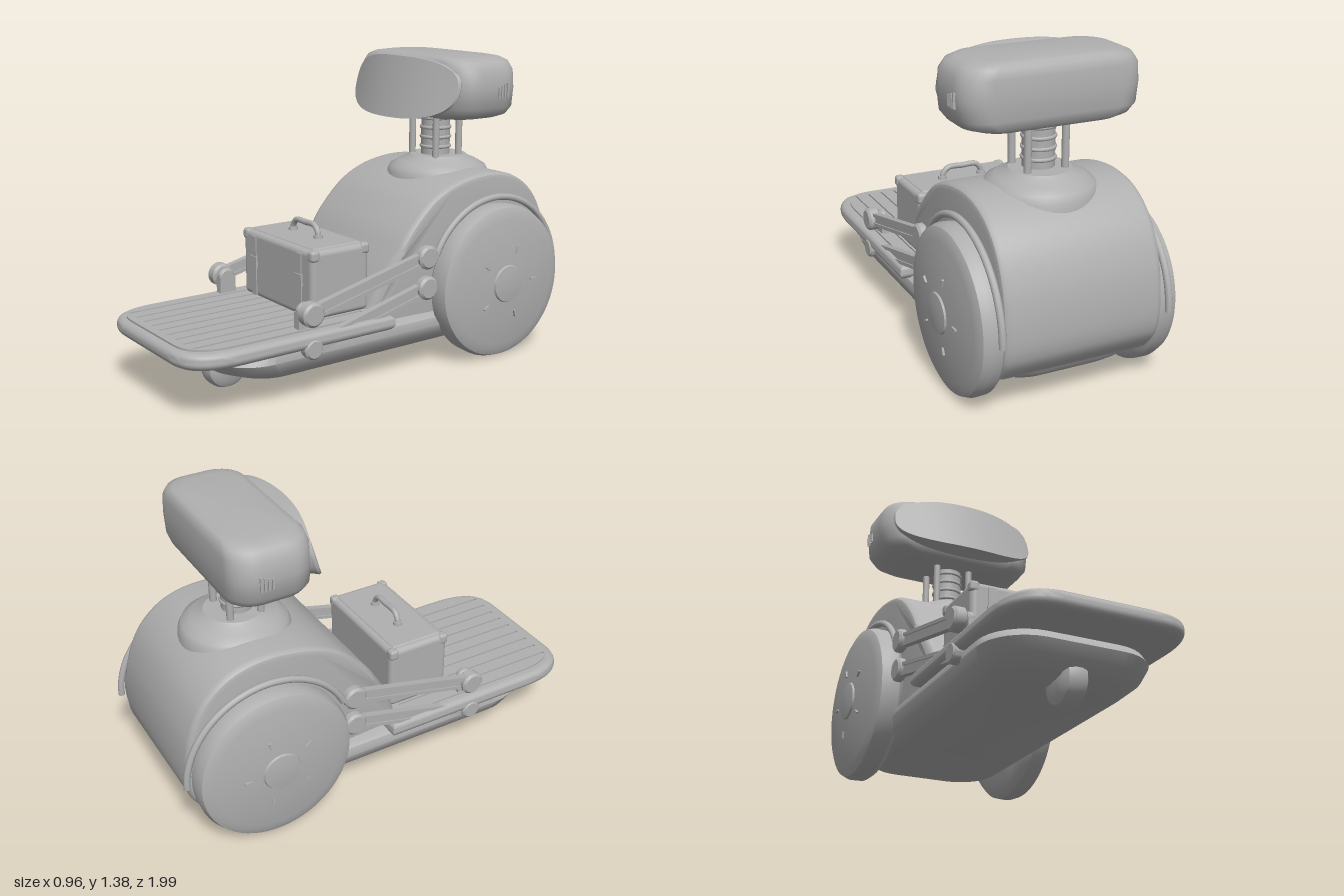
import * as THREE from 'three';
import { toCreasedNormals } from 'three/addons/utils/BufferGeometryUtils.js';
import { RoundedBoxGeometry } from 'three/addons/geometries/RoundedBoxGeometry.js';

const grey = new THREE.MeshStandardMaterial({ color: 0xb0b0b0 });
grey.name = 'grey';

// Skin over equal-length rings of points, closed at both ends
function skin(rings, crease = 0.7) {
  const pos = [];
  const tri = (...ps) => ps.forEach(p => pos.push(p.x, p.y, p.z));
  const n = rings[0].length;
  const mid = r => r.reduce((s, p) => s.add(p), new THREE.Vector3()).divideScalar(n);
  const first = rings[0], last = rings[rings.length - 1], m0 = mid(first), m1 = mid(last);
  for (let i = 0; i < n; i++) {
    const k = (i + 1) % n;
    for (let j = 0; j < rings.length - 1; j++) {
      const a = rings[j], b = rings[j + 1];
      tri(a[i], a[k], b[i]);
      tri(a[k], b[k], b[i]);
    }
    tri(m0, first[k], first[i]);
    tri(m1, last[i], last[k]);
  }
  const g = new THREE.BufferGeometry();
  g.setAttribute('position', new THREE.Float32BufferAttribute(pos, 3));
  return toCreasedNormals(g, crease);
}

// Level rounded-rectangle ring
function roundRing(y, hx, z0, z1, r) {
  const pts = [], cz = (z0 + z1) / 2, hz = (z1 - z0) / 2;
  for (let q = 0; q < 4; q++) for (let k = 0; k <= 8; k++) {
    const t = (q + k / 8) * Math.PI / 2;
    const sx = q === 0 || q === 3 ? 1 : -1, sz = q < 2 ? 1 : -1;
    pts.push(new THREE.Vector3(sx * (hx - r) + r * Math.cos(t), y, cz - sz * (hz - r) - r * Math.sin(t)));
  }
  return pts;
}

// Plan outline with rounded front corners
function plan(hx, z0, z1, r) {
  const s = new THREE.Shape();
  s.moveTo(-hx, z0);
  s.lineTo(hx, z0);
  s.lineTo(hx, z1 - r * 1.3);
  s.bezierCurveTo(hx, z1 - r * 0.3, hx - r * 0.4, z1, hx - r, z1);
  s.lineTo(-hx + r, z1);
  s.bezierCurveTo(-hx + r * 0.4, z1, -hx, z1 - r * 0.3, -hx, z1 - r * 1.3);
  return s;
}

export function createModel() {
  const root = new THREE.Group();
  root.name = 'cargoRobot';
  const add = (name, geo, x = 0, y = 0, z = 0) => {
    const m = new THREE.Mesh(geo, grey);
    m.name = name;
    m.position.set(x, y, z);
    root.add(m);
    return m;
  };
  const box = (name, w, h, d, x, y, z) => add(name, new THREE.BoxGeometry(w, h, d), x, y, z);
  const lathe = (pts, seg = 48) => toCreasedNormals(
    new THREE.LatheGeometry(pts.map(p => new THREE.Vector2(...p)), seg), 0.6);
  const disc = (r, w) => lathe([[0, -w / 2], [r * 0.8, -w / 2], [r, -w / 2 + 0.01],
    [r, w / 2 - 0.01], [r * 0.8, w / 2], [0, w / 2]], 28).rotateZ(Math.PI / 2);

  // Drum body: side profile in z, y
  const side = new THREE.Shape();
  side.moveTo(-0.88, 0.17);
  side.lineTo(0.1, 0.22);
  side.splineThru([[0.07, 0.31], [0.02, 0.43], [-0.05, 0.55], [-0.13, 0.66], [-0.25, 0.77], [-0.4, 0.835],
    [-0.59, 0.857], [-0.75, 0.82], [-0.87, 0.72], [-0.94, 0.57], [-0.965, 0.4], [-0.95, 0.27], [-0.88, 0.17]]
    .map(p => new THREE.Vector2(...p)));
  const body = new THREE.ExtrudeGeometry(side, { depth: 0.64, curveSegments: 40, bevelThickness: 0.03,
    bevelSize: 0.025, bevelOffset: -0.025, bevelSegments: 3 });
  body.translate(0, 0, -0.32).rotateY(-Math.PI / 2);
  const bp = body.attributes.position;
  for (let i = 0; i < bp.count; i++) {
    const t = THREE.MathUtils.clamp((bp.getZ(i) + 0.08) / 0.14, 0, 1);
    bp.setX(i, bp.getX(i) * (1 - 0.16 * t));
  }
  add('body', toCreasedNormals(body, 0.5));

  // Lower hull
  add('hull', skin([
    roundRing(0.1, 0.27, -0.78, 0.6, 0.15), roundRing(0.112, 0.3, -0.82, 0.68, 0.17),
    roundRing(0.15, 0.345, -0.87, 0.77, 0.2), roundRing(0.2, 0.365, -0.89, 0.8, 0.2),
    roundRing(0.235, 0.355, -0.89, 0.78, 0.2), roundRing(0.25, 0.33, -0.88, 0.74, 0.18)]));

  // Cargo deck with grooved floor
  const deck = new THREE.ExtrudeGeometry(plan(0.395, 0, 1, 0.19), { depth: 0.006, curveSegments: 14,
    bevelThickness: 0.032, bevelSize: 0.032, bevelOffset: -0.032, bevelSegments: 5 });
  add('deck', toCreasedNormals(deck.rotateX(Math.PI / 2), 0.7), 0, 0.272, 0);
  const floor = plan(0.345, 0.02, 0.965, 0.16);
  for (let i = -4; i <= 4; i++) {
    const x = i * 0.07, h = new THREE.Path();
    h.moveTo(x - 0.006, 0.1);
    h.lineTo(x - 0.006, 0.93);
    h.lineTo(x + 0.006, 0.93);
    h.lineTo(x + 0.006, 0.1);
    floor.holes.push(h);
  }
  add('deckFloor', new THREE.ExtrudeGeometry(floor, { depth: 0.016, bevelEnabled: false })
    .rotateX(Math.PI / 2), 0, 0.312, 0);

  // Front caster
  add('caster', lathe([[0, -0.055], [0.07, -0.055], [0.095, -0.04], [0.105, -0.015], [0.105, 0.015],
    [0.095, 0.04], [0.07, 0.055], [0, 0.055]]).rotateZ(Math.PI / 2), 0.005, 0.108, 0.63);

  // Neck collar, neck, rings and posts
  add('collar', lathe([[0.25, 0.68], [0.247, 0.77], [0.24, 0.82], [0.225, 0.85], [0.185, 0.873],
    [0.145, 0.89], [0.13, 0.903], [0, 0.903]]), 0, 0, -0.56);
  add('neck', new THREE.CylinderGeometry(0.068, 0.068, 0.24, 32), 0, 1.0, -0.545);
  for (const y of [0.94, 0.985, 1.03, 1.075])
    add('neckRing', new THREE.TorusGeometry(0.066, 0.009, 8, 32).rotateX(Math.PI / 2), 0, y, -0.545);
  for (const x of [-0.085, 0.085]) for (const z of [-0.475, -0.615])
    add('neckPost', new THREE.CylinderGeometry(0.016, 0.016, 0.22, 16), x, 1.0, z);

  // Head
  const headRings = [[1.097, 0.27, 0.13], [1.104, 0.32, 0.155], [1.12, 0.365, 0.17], [1.155, 0.392, 0.179],
    [1.24, 0.4, 0.181], [1.32, 0.394, 0.179], [1.357, 0.37, 0.171], [1.373, 0.335, 0.157], [1.38, 0.29, 0.13]];
  add('head', skin(headRings.map(([y, hx, hz]) => roundRing(y, hx, -0.537 - hz, -0.537 + hz, 0.115)), 0.9));

  // Curved, tilted visor
  const visorRing = (s, back, flat) => Array.from({ length: 64 }, (_, i) => {
    const t = i / 32 * Math.PI, c = Math.cos(t), n = Math.sin(t);
    const x = s * 0.365 * Math.sign(c) * Math.abs(c) ** 0.75;
    const dy = s * 0.137 * Math.sign(n) * Math.abs(n) ** 0.75;
    return new THREE.Vector3(x, 1.238 + dy, flat ?? -0.275 - 0.29 * dy - 0.6 * x * x - back);
  });
  add('visor', skin([visorRing(0.82, 0, -0.43), visorRing(0.96, 0.035), visorRing(1, 0.012), visorRing(0.99, 0),
    visorRing(0.75, 0), visorRing(0.5, 0), visorRing(0.25, 0), visorRing(0.02, 0)]));

  // Suitcase
  add('suitcase', new RoundedBoxGeometry(0.55, 0.3, 0.3, 4, 0.025), 0, 0.46, 0.205);
  add('suitcaseLid', new RoundedBoxGeometry(0.5, 0.02, 0.25, 2, 0.009), 0, 0.606, 0.205);
  const grip = new THREE.CatmullRomCurve3([[-0.098, 0.61], [-0.095, 0.64], [-0.07, 0.667], [0, 0.669],
    [0.07, 0.667], [0.095, 0.64], [0.098, 0.61]].map(([x, y]) => new THREE.Vector3(x, y, 0.2)));
  add('suitcaseHandle', new THREE.TubeGeometry(grip, 32, 0.013, 10));

  for (const s of [-1, 1]) {
    // Suitcase straps, buckles and handle feet
    box('suitcaseStrap', 0.035, 0.27, 0.008, s * 0.18, 0.455, 0.356);
    box('suitcaseBuckle', 0.05, 0.05, 0.014, s * 0.18, 0.475, 0.358);
    add('handleFoot', new THREE.CylinderGeometry(0.02, 0.022, 0.02, 16), s * 0.098, 0.62, 0.2);
    for (const z of [0.075, 0.335])
      add('suitcaseCorner', new RoundedBoxGeometry(0.045, 0.05, 0.045, 2, 0.015), s * 0.257, 0.588, z);

    // Wheel with wheel slots
    add('wheel', lathe([[0, 0.31], [0.29, 0.31], [0.335, 0.325], [0.355, 0.35], [0.357, 0.4], [0.345, 0.43],
      [0.32, 0.442], [0.29, 0.446], [0.27, 0.45], [0.17, 0.463], [0.087, 0.468], [0.083, 0.476],
      [0.05, 0.48], [0, 0.481]], 64).rotateZ(-s * Math.PI / 2), 0, 0.36, -0.592);
    for (let i = 0; i < 5; i++) {
      const a = Math.PI + i * Math.PI * 0.4;
      const slot = box('wheelSlot', 0.012, 0.008, 0.032, s * 0.467,
        0.36 + 0.157 * Math.sin(a), -0.592 + 0.157 * Math.cos(a));
      slot.rotation.x = -a;
    }

    // Fender hoop over the wheel
    const hoop = new THREE.TorusGeometry(0.385, 0.015, 10, 48, Math.PI * 0.86);
    add('fender', hoop.rotateY(Math.PI / 2), s * 0.37, 0.36, -0.592);

    // Paired lift arms with rails and joints
    for (const [z1, y1, z2, y2, r] of [[0.425, 0.382, -0.19, 0.527, 0.053], [0.425, 0.235, -0.19, 0.388, 0.045]]) {
      const arm = new THREE.Group();
      arm.name = 'liftArm';
      arm.position.set(s * 0.365, (y1 + y2) / 2, (z1 + z2) / 2);
      arm.rotation.x = -Math.atan2(y1 - y2, z1 - z2);
      const len = Math.hypot(z1 - z2, y1 - y2);
      for (const [dy, h, w] of [[0, 0.05, 0.016], [0.022, 0.016, 0.03], [-0.022, 0.016, 0.03]]) {
        const rail = new THREE.Mesh(new THREE.BoxGeometry(w, h, len), grey);
        rail.name = 'armRail';
        rail.position.y = dy;
        arm.add(rail);
      }
      root.add(arm);
      add('frontJoint', disc(r, 0.06), s * 0.37, y1, z1);
      add('rearJoint', disc(0.053, 0.045), s * 0.372, y2, z2);
    }

    // Bracket holding the arms to the deck
    box('armBracket', 0.035, 0.09, 0.08, s * 0.32, 0.34, 0.425);
    add('bracketTop', disc(0.04, 0.035), s * 0.32, 0.382, 0.425);

    // Head side vents
    for (let i = 0; i < 4; i++)
      box('vent', 0.012, 0.045 + i * 0.006, 0.008, s * 0.4, 1.225 + i * 0.003, -0.565 - i * 0.017);
  }
  return root;
}
